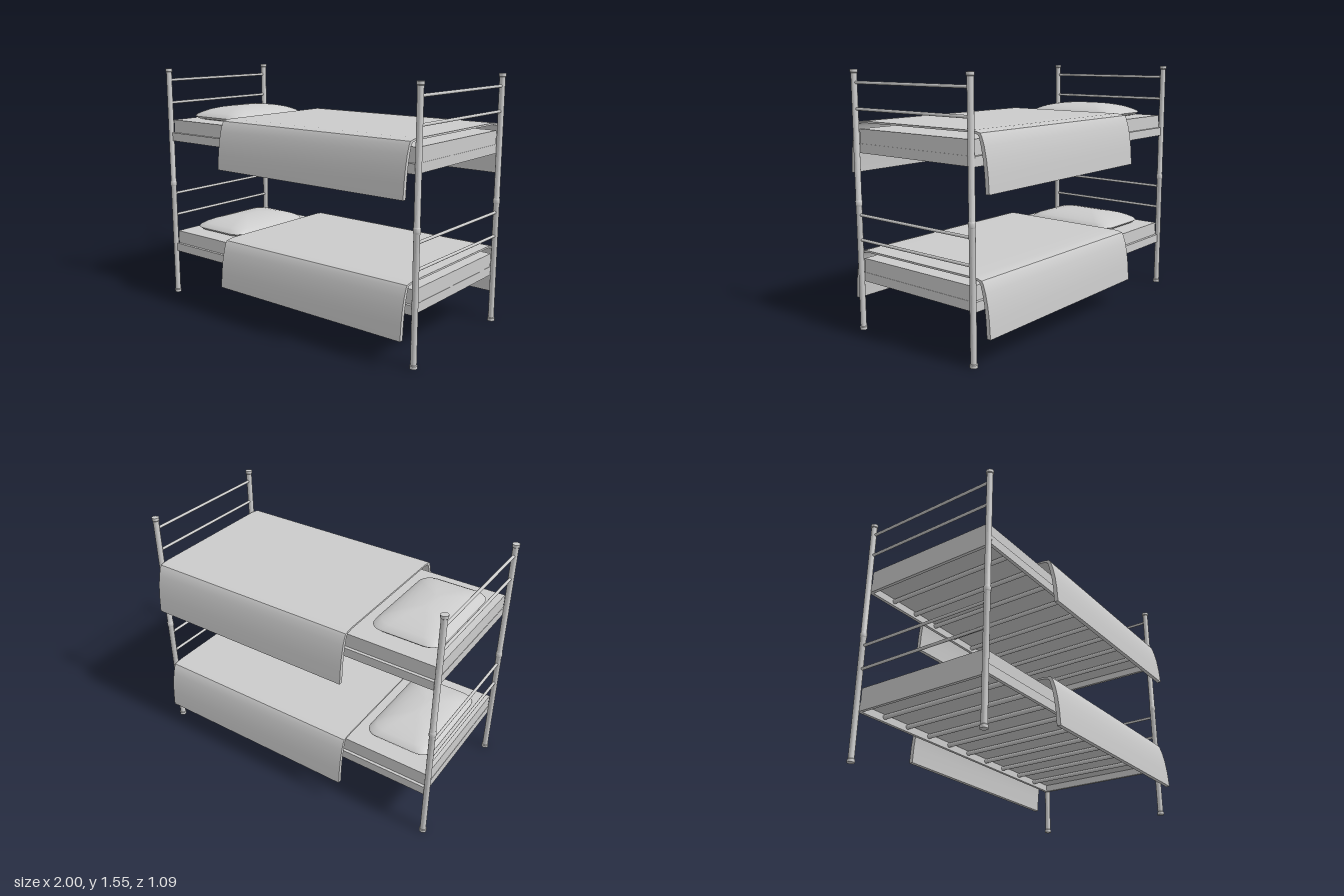
import * as THREE from 'three';
import { toCreasedNormals } from 'three/addons/utils/BufferGeometryUtils.js';

const material = new THREE.MeshStandardMaterial({ color: 0xcccccc, side: THREE.DoubleSide });
const POST_X = 0.98, POST_Z = 0.45, LEVEL = 0.77;

function add(parent, name, geometry, x = 0, y = 0, z = 0) {
  const mesh = new THREE.Mesh(geometry, material);
  mesh.name = name;
  mesh.position.set(x, y, z);
  parent.add(mesh);
  return mesh;
}

const box = (w, h, d) => new THREE.BoxGeometry(w, h, d);
const barZ = (r, length) => new THREE.CylinderGeometry(r, r, length, 12).rotateX(Math.PI / 2);

// Full-height post with foot, joint sleeve and cap
function postGeometry() {
  const profile = [[0, 0], [0.022, 0], [0.022, 0.018], [0.018, 0.022], [0.018, 0.758], [0.021, 0.763],
    [0.021, 0.787], [0.018, 0.792], [0.018, 1.528], [0.022, 1.532], [0.022, 1.55], [0, 1.55]];
  const points = profile.map(([r, y]) => new THREE.Vector2(r, y));
  return toCreasedNormals(new THREE.LatheGeometry(points, 16), 0.6);
}

// Blanket cross-section (z, y), extruded along the bed
function blanketGeometry() {
  const outer = [[0.3, 0.485], [0.42, 0.485], [0.455, 0.482], [0.485, 0.475], [0.496, 0.458], [0.512, 0.41],
    [0.526, 0.345], [0.536, 0.27], [0.543, 0.175]];
  const inner = [[0.518, 0.175], [0.512, 0.265], [0.503, 0.34], [0.49, 0.405], [0.476, 0.455],
    [0.466, 0.466], [0.45, 0.47], [0.42, 0.474], [0.3, 0.474]];
  const half = [...outer, ...inner];
  // The back side hangs slightly lower
  const other = half.map(([z, y]) => [-z, y < 0.2 ? y - 0.01 : y]).reverse();
  const shape = new THREE.Shape([...half, ...other].map(([z, y]) => new THREE.Vector2(-z, y)));
  const geometry = new THREE.ExtrudeGeometry(shape, { depth: 1.38, bevelEnabled: false });
  return toCreasedNormals(geometry.rotateY(Math.PI / 2), 0.7);
}

// Pillow built from stacked rounded-rectangle rings
function pillowGeometry() {
  const rings = [[0.035, 0.44], [0.012, 0.449], [0, 0.464], [0.006, 0.475], [0.03, 0.491],
    [0.065, 0.506], [0.11, 0.518], [0.16, 0.526], [0.2, 0.529]];
  const steps = 6, count = 4 * (steps + 1), positions = [], indices = [];
  for (const [inset, y] of rings) {
    const hx = 0.218 - inset, hz = 0.338 - inset * 1.3;
    const r = Math.min(0.085, hx * 0.45);
    for (let q = 0; q < 4; q++) {
      const sx = q === 0 || q === 3 ? 1 : -1, sz = q < 2 ? 1 : -1;
      for (let i = 0; i <= steps; i++) {
        const a = (q + i / steps) * Math.PI / 2;
        positions.push(sx * (hx - r) + r * Math.cos(a), y, sz * (hz - r) + r * Math.sin(a));
      }
    }
  }
  for (let k = 0; k < rings.length - 1; k++) {
    for (let i = 0; i < count; i++) {
      const a = k * count + i, b = k * count + (i + 1) % count;
      indices.push(a, a + count, b, b, a + count, b + count);
    }
  }
  // Close the bottom and the crown
  const bottom = positions.length / 3, last = (rings.length - 1) * count;
  positions.push(0, 0.44, 0, 0, 0.53, 0);
  for (let i = 0; i < count; i++) {
    const j = (i + 1) % count;
    indices.push(bottom, i, j, bottom + 1, last + j, last + i);
  }
  const geometry = new THREE.BufferGeometry();
  geometry.setAttribute('position', new THREE.Float32BufferAttribute(positions, 3));
  geometry.setIndex(indices);
  geometry.computeVertexNormals();
  return toCreasedNormals(geometry, 0.8);
}

function createBunk() {
  const bunk = new THREE.Group();
  // Frame boards around the mattress
  for (const s of [-1, 1]) {
    add(bunk, 'sideRail', box(1.93, 0.055, 0.02), 0, 0.3275, s * 0.445);
    add(bunk, 'endRail', box(0.02, 0.055, 0.87), s * 0.957, 0.3275, 0);
    for (const y of [0.555, 0.705]) add(bunk, 'endBar', barZ(0.009, 0.9), s * POST_X, y, 0);
  }
  // Round slats under the mattress
  for (let i = 0; i < 9; i++) add(bunk, 'slat', barZ(0.014, 0.87), (i - 4) * 0.193, 0.328, 0);
  add(bunk, 'mattress', box(1.93, 0.095, 0.872), 0, 0.3925, 0);
  add(bunk, 'pillow', pillowGeometry(), -0.695, 0, 0);
  add(bunk, 'blanket', blanketGeometry(), -0.43, 0, 0);
  return bunk;
}

export function createModel() {
  const model = new THREE.Group();
  model.name = 'bunkBed';
  for (const x of [-POST_X, POST_X]) {
    for (const z of [-POST_Z, POST_Z]) add(model, 'post', postGeometry(), x, 0, z);
  }
  ['lowerBunk', 'upperBunk'].forEach((name, i) => {
    const bunk = createBunk();
    bunk.name = name;
    bunk.position.y = i * LEVEL;
    model.add(bunk);
  });
  return model;
}
